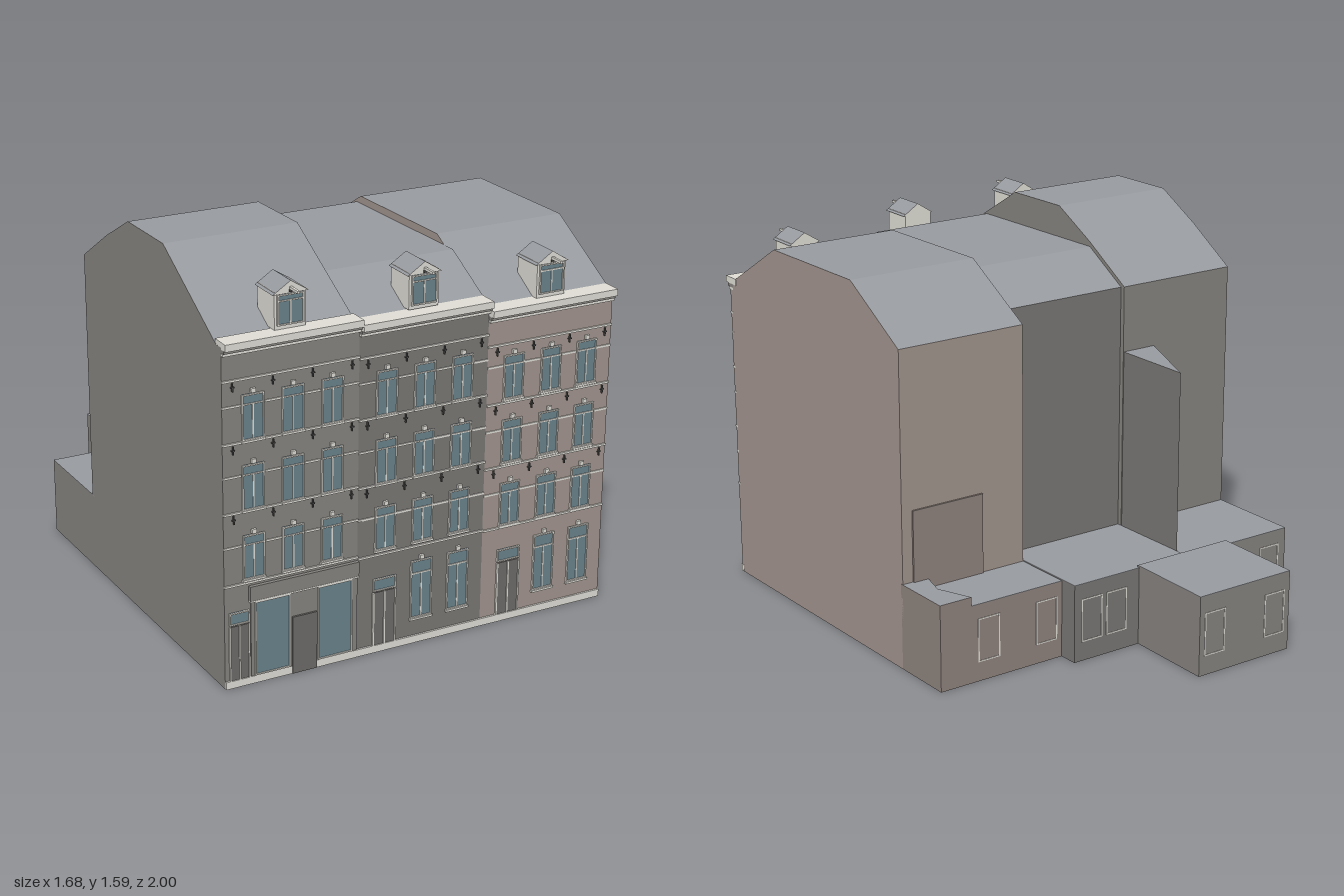
import * as THREE from 'three';

const mat = (color) => new THREE.MeshStandardMaterial({ color });
const GREY = mat(0x85827e), DARK = mat(0x787673), BROWN = mat(0xa0938c), BROWN2 = mat(0x8d827c);
const TRIM = mat(0xdedcd4), GLASS = mat(0x69818a), ROOF = mat(0x979a9f), DOOR = mat(0x6d6a67), IRON = mat(0x4c4b4a);
const FACE = 0.952; // z of the street wall

// party lines between houses: x at the street and drift per unit of depth
const LINES = [[-0.81, 0.019], [-0.26, 0.032], [0.285, 0.032], [0.835, 0.023]];
const lineX = ([x, k], z) => x + k * (z - 0.96);

function add(parent, name, geo, material) {
  const m = new THREE.Mesh(geo, material);
  m.name = name;
  parent.add(m);
  return m;
}

// box given by its x range, y range and z range
function box(parent, name, x0, x1, y0, y1, z0, z1, material) {
  const g = new THREE.BoxGeometry(x1 - x0, y1 - y0, z1 - z0);
  g.translate((x0 + x1) / 2, (y0 + y1) / 2, (z0 + z1) / 2);
  return add(parent, name, g, material);
}

// profile of [z, y] points, swept in x between two slanting party lines
function slab(parent, name, profile, lineA, lineB, materials) {
  const shape = new THREE.Shape(profile.map(([z, y]) => new THREE.Vector2(-z, y)));
  const g = new THREE.ExtrudeGeometry(shape, { depth: 1, bevelEnabled: false }).rotateY(Math.PI / 2);
  const p = g.attributes.position;
  for (let i = 0; i < p.count; i++) {
    const z = p.getZ(i);
    p.setX(i, THREE.MathUtils.lerp(lineX(lineA, z), lineX(lineB, z), p.getX(i)));
  }
  g.computeVertexNormals();
  return add(parent, name, g, materials);
}
const rect = (z0, z1, y0, y1) => [[z0, y0], [z1, y0], [z1, y1], [z0, y1]];

// upright prism over a floor plan of [x, z] points
function column(parent, name, plan, y0, y1, materials) {
  const shape = new THREE.Shape(plan.map(([x, z]) => new THREE.Vector2(x, -z)));
  const g = new THREE.ExtrudeGeometry(shape, { depth: y1 - y0, bevelEnabled: false }).rotateX(-Math.PI / 2);
  return add(parent, name, g.translate(0, y0, 0), materials);
}

// window with frame, centre post and transom; origin at bottom centre, facing +z
function makeWindow(w, h, divided = true, sill = true) {
  const g = new THREE.Group(), t = 0.005, d = 0.008;
  g.name = 'window';
  box(g, 'glass', -w / 2, w / 2, 0, h, -0.004, 0.003, GLASS);
  for (const s of [-1, 1]) box(g, 'jamb', s * w / 2 - t / 2, s * w / 2 + t / 2, 0, h, -0.004, d, TRIM);
  box(g, 'head', -w / 2, w / 2, h - t, h, -0.004, d, TRIM);
  box(g, 'bottomRail', -w / 2, w / 2, 0, t, -0.004, d, TRIM);
  if (divided) {
    box(g, 'post', -t / 2, t / 2, 0, h * 0.77, -0.004, 0.006, TRIM);
    box(g, 'transom', -w / 2, w / 2, h * 0.77, h * 0.77 + t, -0.004, 0.007, TRIM);
  }
  if (sill) {
    box(g, 'sill', -w / 2 - 0.006, w / 2 + 0.006, -0.008, 0, -0.004, 0.011, TRIM);
    box(g, 'keystone', -0.009, 0.009, h + 0.004, h + 0.02, -0.004, 0.01, TRIM);
  }
  return g;
}
function put(parent, obj, x, y, z, turn = 0) {
  obj.position.set(x, y, z);
  obj.rotation.y = turn;
  parent.add(obj);
}

// double-leaf street door with fanlight
function door(parent, x0, x1, h) {
  const g = new THREE.Group(), mid = (x0 + x1) / 2;
  g.name = 'streetDoor';
  box(g, 'doorLeaf', x0, x1, 0.005, h, FACE - 0.01, FACE + 0.004, DOOR);
  for (const x of [x0, mid, x1]) box(g, 'doorTrim', x - 0.003, x + 0.003, 0.005, h, FACE - 0.01, FACE + 0.008, TRIM);
  put(g, makeWindow(x1 - x0, 0.05, false, false), mid, h + 0.006, FACE);
  parent.add(g);
}

// gabled dormer with hoist beam
function dormer(parent, x, y) {
  const g = new THREE.Group(), eave = 0.13;
  g.name = 'dormer';
  box(g, 'dormerBody', -0.062, 0.062, -0.01, eave, 0.8, 0.932, TRIM);
  put(g, makeWindow(0.1, 0.115, true, false), 0, 0.005, 0.932);
  const tri = new THREE.Shape([[-0.072, eave - 0.008], [0.072, eave - 0.008], [0, eave + 0.038]].map((p) => new THREE.Vector2(...p)));
  const geo = new THREE.ExtrudeGeometry(tri, { depth: 0.138, bevelEnabled: false }).translate(0, 0, 0.8);
  add(g, 'dormerRoof', geo, [TRIM, ROOF]);
  box(g, 'hoistBeam', -0.005, 0.005, eave + 0.006, eave + 0.016, 0.93, 0.998, TRIM);
  box(g, 'hoistHatch', -0.007, 0.007, eave - 0.004, eave + 0.006, 0.93, 0.942, IRON);
  put(parent, g, x, y, 0);
}

const HOUSES = [
  { name: 'leftHouse', wall: GREY, back: -0.22, eave: 1.34, windows: [-0.69, -0.53, -0.37], rows: [0.43, 0.705, 0.975],
    bands: [0.415, 0.7, 0.97, 1.21], cornice: 1.36, dormer: 1.37,
    roof: [[0.5, 1.59], [0.2, 1.59], [0, 1.48]] },
  { name: 'middleHouse', wall: DARK, back: -0.2, eave: 1.335, windows: [-0.145, 0.015, 0.175], rows: [0.425, 0.695, 0.965],
    bands: [0.405, 0.69, 0.96, 1.2], cornice: 1.34, dormer: 1.355,
    roof: [[0.7, 1.46], [0, 1.46]] },
  { name: 'rightHouse', wall: BROWN, back: -0.29, eave: 1.295, windows: [0.4, 0.565, 0.725], rows: [0.41, 0.67, 0.93],
    bands: [0.4, 0.655, 0.915, 1.15], cornice: 1.3, dormer: 1.31,
    roof: [[0.59, 1.49], [0.03, 1.49]] },
];

function house(def, i) {
  const g = new THREE.Group(), a = LINES[i], b = LINES[i + 1];
  const x0 = a[0], x1 = b[0], { wall, back, eave } = def;
  g.name = def.name;
  slab(g, 'walls', rect(FACE, back, 0, eave), a, b, wall);
  slab(g, 'roof', [[0.915, eave], ...def.roof, [back, eave]], a, b, [wall, ROOF]);

  // cornice and plinth
  const c = def.cornice;
  box(g, 'corniceTop', x0, x1, c - 0.027, c, 0.905, 0.986, TRIM);
  box(g, 'corniceBed', x0, x1, c - 0.04, c - 0.027, 0.93, 0.972, GREY);
  box(g, 'architrave', x0, x1, c - 0.052, c - 0.042, 0.93, 0.965, TRIM);
  box(g, 'plinth', x0, x1, 0, 0.03, 0.94, 0.96, TRIM);

  // upper windows, string courses, lintel bands between windows and wall anchors
  for (const y of def.rows) for (const x of def.windows) put(g, makeWindow(0.083, 0.175), x, y, FACE);
  const half = 0.0475;
  const piers = [x0, ...def.windows.flatMap((x) => [x - half, x + half]), x1];
  def.bands.forEach((y, n) => {
    box(g, 'stringCourse', x0, x1, y - 0.004, y + 0.004, 0.94, FACE + 0.007, TRIM);
    if (n === 3) return;
    for (let p = 0; p < piers.length; p += 2)
      box(g, 'lintelBand', piers[p], piers[p + 1], def.rows[n] + 0.132, def.rows[n] + 0.14, 0.94, FACE + 0.004, TRIM);
    const top = def.bands[n + 1] - 0.025;
    for (const x of [-0.24, -0.08, 0.08, 0.24].map((d) => def.windows[1] + d)) {
      box(g, 'wallAnchor', x - 0.002, x + 0.002, top - 0.016, top + 0.016, 0.94, FACE + 0.008, IRON);
      box(g, 'wallAnchorBar', x - 0.007, x + 0.007, top - 0.002, top + 0.002, 0.94, FACE + 0.008, IRON);
    }
  });
  dormer(g, def.windows[1], def.dormer);
  return g;
}

export function createModel() {
  const root = new THREE.Group();
  root.name = 'townhouseRow';
  const [left, middle, right] = HOUSES.map((d, i) => {
    const h = house(d, i);
    root.add(h);
    return h;
  });

  // ground floors
  door(left, -0.79, -0.712, 0.25);
  door(middle, -0.192, -0.098, 0.25);
  door(right, 0.355, 0.452, 0.25);
  for (const x of [0.015, 0.175]) put(middle, makeWindow(0.088, 0.24), x, 0.105, FACE);
  for (const x of [0.565, 0.725]) put(right, makeWindow(0.088, 0.235), x, 0.097, FACE);

  // shopfront of the left house
  const shop = new THREE.Group();
  shop.name = 'shopfront';
  box(shop, 'shopPanel', -0.705, -0.262, 0.03, 0.34, 0.94, 0.957, GREY);
  box(shop, 'shopFascia', -0.712, -0.26, 0.342, 0.4, 0.94, 0.967, GREY);
  box(shop, 'fasciaLedge', -0.712, -0.26, 0.336, 0.342, 0.94, 0.968, TRIM);
  for (const x of [-0.618, -0.358]) put(shop, makeWindow(0.14, 0.302, false, false), x, 0.033, 0.957);
  box(shop, 'shopDoor', -0.537, -0.435, 0.002, 0.236, 0.94, 0.965, DOOR);
  left.add(shop);

  // rear extensions
  const rear = new THREE.Group();
  rear.name = 'rearExtensions';
  root.add(rear);
  const [A, B, C, D] = LINES, cap = 0.002;
  const annex = (name, z0, z1, h, a, b, wall) => {
    slab(rear, name, rect(z0, z1, 0, h - cap), a, b, wall);
    slab(rear, name + 'Roof', rect(z0, z1, h - cap, h), a, b, ROOF);
  };
  annex('leftAnnex', -0.2, -0.62, 0.32, A, B, GREY);
  annex('middleAnnex', -0.19, -0.62, 0.325, B, C, DARK);
  annex('rightAnnex', -0.28, -0.54, 0.32, C, D, BROWN2);
  annex('backRoom', -0.61, -0.998, 0.333, [-0.53, 0], [-0.08, 0], GREY);
  column(rear, 'raisedAnnex', [[0.66, -0.541], [0.72, -0.4], [0.69, -0.28], [0.808, -0.28], [0.802, -0.541]], 0.3, 0.357, [ROOF, BROWN2]);
  column(rear, 'stairTower', [[-0.455, -0.215], [-0.3, -0.195], [-0.311, -0.568]], 0.3, 1.07, [ROOF, DARK]);
  box(rear, 'rearWallPanel', 0.44, 0.76, 0.3, 0.65, -0.298, -0.28, BROWN2);

  // rear windows: [x, z of wall]
  const spots = [[0.58, -0.54], [0.31, -0.54], [0.15, -0.62], [0.03, -0.62], [-0.155, -0.998], [-0.455, -0.998], [-0.755, -0.62]];
  for (const [x, z] of spots) put(rear, makeWindow(0.095, 0.18, false, false), x, 0.08, z + 0.006, Math.PI);
  return root;
}
